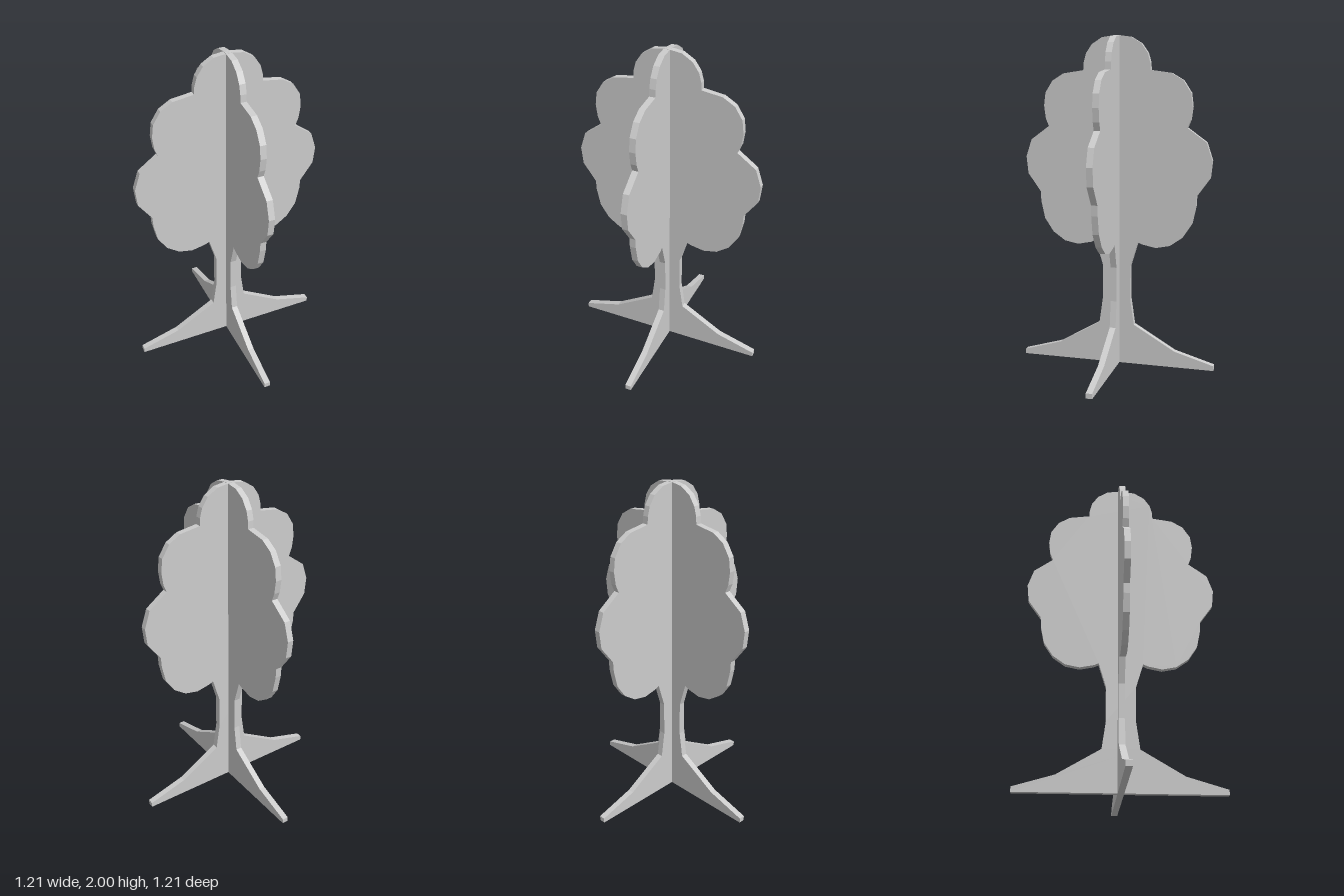
import * as THREE from 'three';

const THICKNESS = 0.037;

// Right half of the tree outline, from foot to crown
const HALF = [
  // root foot and trunk
  [0.605, 0], [0.605, 0.03], [0.365, 0.1], [0.11, 0.25], [0.087, 0.41], [0.087, 0.62], [0.132, 0.77],
  // lower leaf lobe
  [0.16, 0.757], [0.245, 0.74], [0.33, 0.757], [0.405, 0.81], [0.46, 0.893], [0.483, 1.0], [0.486, 1.06],
  // middle leaf lobe
  [0.565, 1.17], [0.576, 1.275], [0.541, 1.38], [0.427, 1.463],
  // upper leaf lobe
  [0.446, 1.51], [0.456, 1.587], [0.446, 1.665], [0.4, 1.737], [0.33, 1.779], [0.205, 1.797],
  // top lobe
  [0.203, 1.84], [0.188, 1.895], [0.15, 1.95], [0.088, 1.988],
];

function treeGeometry() {
  const right = HALF.map(([x, y]) => new THREE.Vector2(x, y));
  const left = HALF.map(([x, y]) => new THREE.Vector2(-x, y)).reverse();
  const outline = new THREE.Shape([...right, new THREE.Vector2(0, 2), ...left]);
  const geometry = new THREE.ExtrudeGeometry(outline, { depth: THICKNESS, bevelEnabled: false });
  return geometry.translate(0, 0, -THICKNESS / 2);
}

export function createModel() {
  const tree = new THREE.Group();
  tree.name = 'slottedTree';
  const material = new THREE.MeshStandardMaterial({ color: 0xcccccc, flatShading: true });
  const geometry = treeGeometry();

  // Two identical flat panels crossing at right angles
  ['widthPanel', 'depthPanel'].forEach((name, i) => {
    const panel = new THREE.Mesh(geometry, material);
    panel.name = name;
    panel.rotation.y = i * Math.PI / 2;
    tree.add(panel);
  });
  return tree;
}
